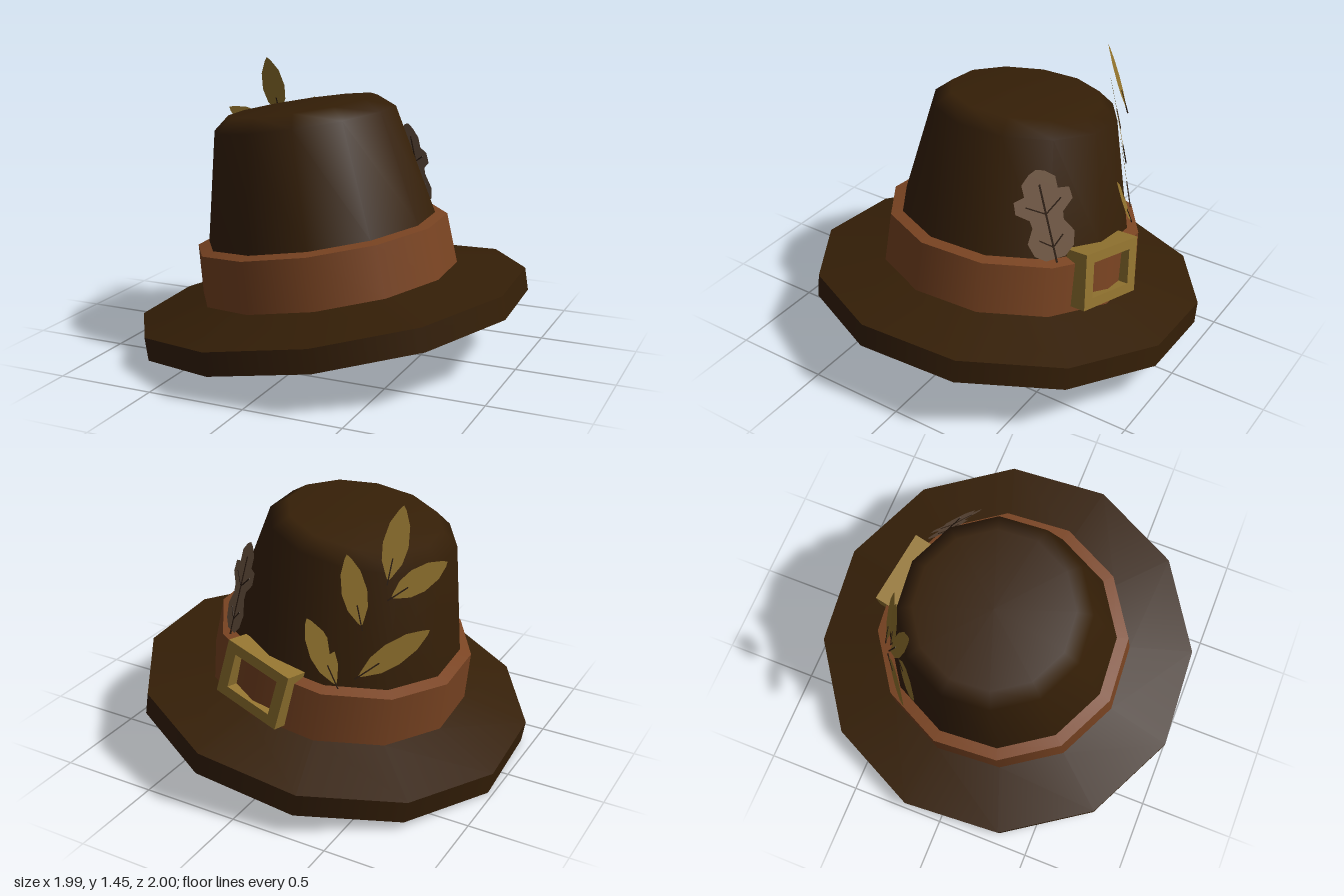
import * as THREE from 'three';

const mat = (name, color) => Object.assign(new THREE.MeshStandardMaterial({ color }), { name });

export function createModel() {
  const felt = mat('brown felt', 0x351f07);
  const leather = mat('tan leather', 0x7a4422);
  const brass = mat('brass', 0x937430);
  const gold = mat('golden leaf', 0x93742e);
  const dry = mat('dry leaf', 0x745b47);
  const vein = mat('leaf vein', 0x2c1c10);
  gold.side = dry.side = THREE.DoubleSide;

  const model = new THREE.Group();
  model.name = 'hat';

  // everything is built upright, then tilted sideways
  const hat = new THREE.Group();
  hat.name = 'tiltedHat';
  hat.position.set(0.01, 0.16, 0);
  hat.rotation.z = THREE.MathUtils.degToRad(9.27);
  model.add(hat);

  // twelve-sided turned parts; each strip is smooth, with sharp edges between strips
  const turned = (name, material, profile) => {
    const points = profile.map(([r, y]) => new THREE.Vector2(r, y));
    const mesh = new THREE.Mesh(
      new THREE.LatheGeometry(points, 12, THREE.MathUtils.degToRad(18.7)), material);
    mesh.name = name;
    hat.add(mesh);
  };
  turned('brimUnderside', felt, [[0, 0], [1.018, 0]]);
  turned('brimEdge', felt, [[1.018, 0], [1.018, 0.118]]);
  turned('brimTop', felt, [[1.018, 0.118], [0.675, 0.192]]);
  turned('bandSide', leather, [[0.675, 0.192], [0.659, 0.452]]);
  turned('bandTop', leather, [[0.659, 0.452], [0.598, 0.466]]);
  turned('crown', felt, [[0.598, 0.466], [0.474, 1.037], [0.39, 1.105], [0, 1.105]]);

  // buckle: a rectangular frame on the back of the band, leaning with it
  const rect = (Type, w, h) => new Type([[-w, -h], [w, -h], [w, h], [-w, h]]
    .map(([x, y]) => new THREE.Vector2(x / 2, y / 2)));
  const frame = rect(THREE.Shape, 0.395, 0.29);
  frame.holes.push(rect(THREE.Path, 0.275, 0.185));
  const buckle = new THREE.Mesh(
    new THREE.ExtrudeGeometry(frame, { depth: 0.125, bevelEnabled: false }), brass);
  buckle.name = 'buckle';
  const angle = THREE.MathUtils.degToRad(169.5);
  buckle.position.set(0.555 * Math.sin(angle) + 0.018, 0.355, 0.555 * Math.cos(angle));
  buckle.rotation.set(THREE.MathUtils.degToRad(-7), angle, -0.04, 'YXZ');
  hat.add(buckle);

  // leaves: thin plates from base to tip, facing outwards
  const placeLeaf = (name, base, tip, facing) => {
    const from = new THREE.Vector3(...base);
    const up = new THREE.Vector3(...tip).sub(from);
    const length = up.length();
    up.normalize();
    const out = new THREE.Vector3(...facing);
    out.addScaledVector(up, -out.dot(up)).normalize();
    const side = up.clone().cross(out);
    const group = new THREE.Group();
    group.name = name;
    group.quaternion.setFromRotationMatrix(new THREE.Matrix4().makeBasis(side, up, out));
    group.position.copy(from);
    hat.add(group);
    return { group, length };
  };
  const addBlade = (group, outline, material) => {
    const shape = new THREE.Shape(outline.map(([x, y]) => new THREE.Vector2(x, y)));
    const blade = new THREE.Mesh(new THREE.ShapeGeometry(shape), material);
    blade.name = 'blade';
    group.add(blade);
  };
  const mirrored = (edge) => edge.map(([x, y]) => [-x, y]).reverse();
  const addVein = (group, x0, y0, x1, y1, width) => {
    const line = new THREE.Mesh(
      new THREE.BoxGeometry(width, Math.hypot(x1 - x0, y1 - y0), 0.006), vein);
    line.name = 'vein';
    line.position.set((x0 + x1) / 2, (y0 + y1) / 2, 0);
    line.rotation.z = Math.atan2(x0 - x1, y1 - y0);
    group.add(line);
  };

  // golden leaves, in two sprigs: base, tip, facing
  const goldEdge = [[0.014, 0.06], [0.048, 0.25], [0.06, 0.48], [0.047, 0.75], [0.016, 0.94]];
  [
    [[-0.348, 1.03, -0.4], [-0.305, 1.357, -0.27], [-0.38, 0.3, -0.9]],
    [[-0.365, 0.93, -0.365], [-0.536, 1.121, -0.186], [-0.7, 0.5, -0.6]],
    [[-0.285, 0.785, -0.462], [-0.14, 1.105, -0.44], [-0.5, 0.3, -0.85]],
    [[-0.25, 0.487, -0.555], [-0.038, 0.767, -0.547], [-0.4, 0.45, -0.9]],
    [[-0.328, 0.54, -0.5], [-0.555, 0.799, -0.283], [-0.7, 0.45, -0.7]],
  ].forEach(([base, tip, facing], i) => {
    const { group, length } = placeLeaf('goldenLeaf' + (i + 1), base, tip, facing);
    const edge = goldEdge.map(([x, y]) => [x, y * length]);
    addBlade(group, [[0, 0], ...edge, [0, length], ...mirrored(edge)], gold);
    addVein(group, 0, -0.02, 0, length * 0.3, 0.006);
  });

  // lobed dry leaf beside the buckle
  const oak = placeLeaf('lobedLeaf', [0.395, 0.487, -0.487], [0.425, 0.905, -0.345], [0.64, 0, -0.77]);
  const lobes = [[0.05, 0.0], [0.1, 0.04], [0.12, 0.11], [0.08, 0.18], [0.085, 0.22],
    [0.145, 0.27], [0.14, 0.33], [0.085, 0.34], [0.085, 0.4], [0.04, 0.44]];
  addBlade(oak.group, [[0, 0], ...lobes, [0, 0.455], ...mirrored(lobes)], dry);
  addVein(oak.group, 0, -0.02, 0, 0.38, 0.009);
  for (const s of [-1, 1]) {
    addVein(oak.group, 0, 0.06, s * 0.06, 0.11, 0.006);
    addVein(oak.group, 0, 0.23, s * 0.09, 0.29, 0.006);
  }
  return model;
}
